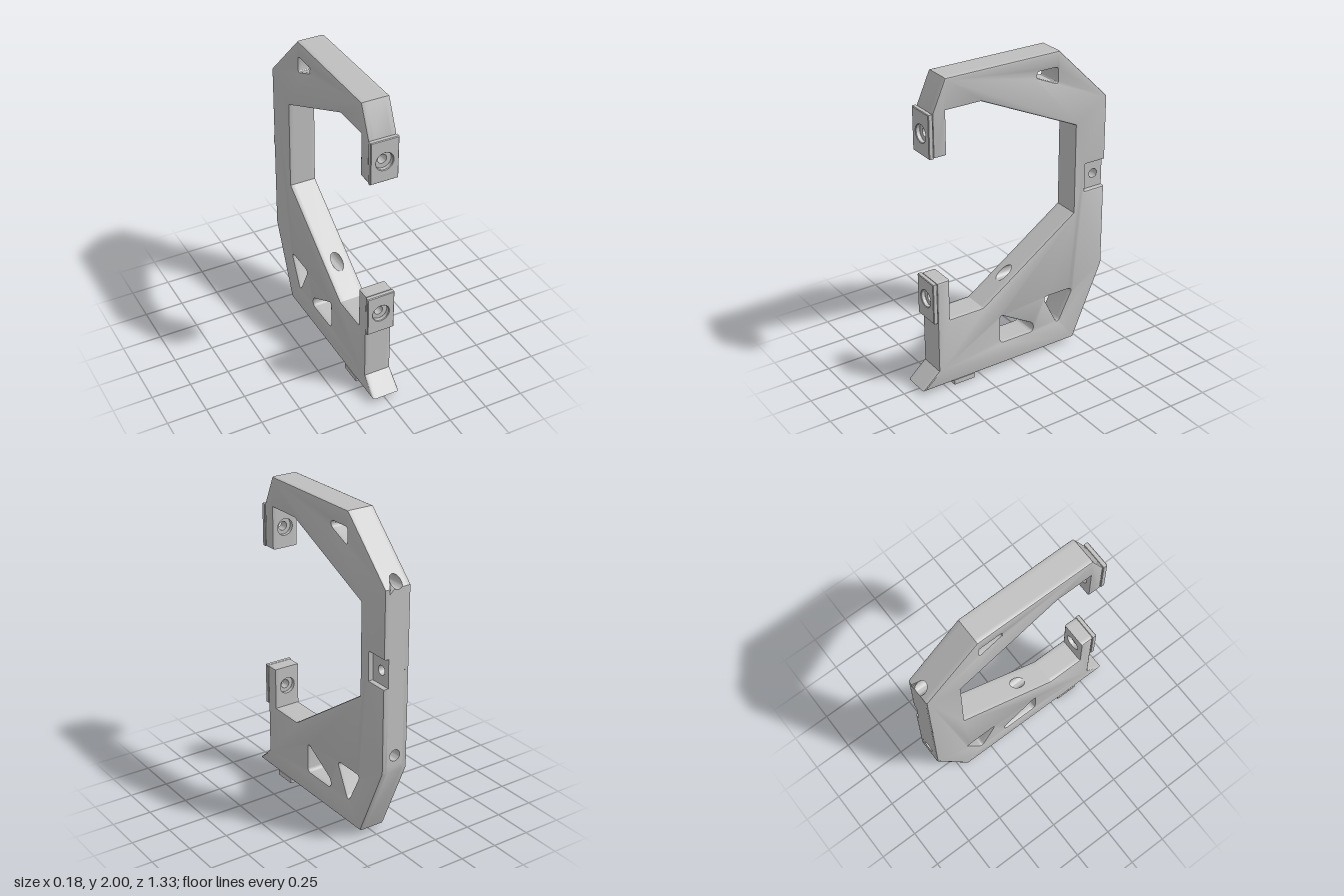
import * as THREE from 'three';
import { toCreasedNormals } from 'three/addons/utils/BufferGeometryUtils.js';

const W = 0.088;           // half width of the bracket
const M = 0.056;           // half width of the core layer that holds the bores
const BEVEL = 0.012;
const LOW = 0.61, HIGH = 1.67;   // heights of the two bolt lines

const steel = new THREE.MeshStandardMaterial({ color: 0xbfbfbf });
steel.name = 'light grey';

const toPath = (pts, Type = THREE.Path) => new Type(pts.map(([u, v]) => new THREE.Vector2(u, v)));

function circle(u, v, r) {
  const p = new THREE.Path();
  p.absarc(u, v, r, 0, Math.PI * 2, true);
  return p;
}

// Polygon with its corners rounded off over distance d
function roundedPath(pts, d) {
  const path = new THREE.Path();
  const v = pts.map(([a, b]) => new THREE.Vector2(a, b));
  v.forEach((p, i) => {
    const toward = (q) => p.clone().add(q.clone().sub(p).setLength(d));
    const a = toward(v[(i + v.length - 1) % v.length]);
    const b = toward(v[(i + 1) % v.length]);
    if (i) path.lineTo(a.x, a.y); else path.moveTo(a.x, a.y);
    path.quadraticCurveTo(p.x, p.y, b.x, b.y);
  });
  path.closePath();
  return path;
}

function add(group, name, geo) {
  const mesh = new THREE.Mesh(toCreasedNormals(geo, 0.5), steel);
  mesh.name = name;
  group.add(mesh);
  return mesh;
}

// Side profile (z, y) extruded from x0 to x1
function slab(pts, holes, x0, x1, bevel = 0) {
  const shape = toPath(pts, THREE.Shape);
  shape.holes.push(...holes);
  const geo = new THREE.ExtrudeGeometry(shape, {
    depth: x1 - x0 - 2 * bevel, curveSegments: 8, bevelEnabled: bevel > 0,
    bevelThickness: bevel, bevelSize: bevel, bevelOffset: -bevel, bevelSegments: 2,
  });
  geo.translate(0, 0, bevel - x1).rotateY(-Math.PI / 2);
  return geo;
}

// Outer layer: only its outside edge stays bevelled, the inside one is flattened
function outerSlab(pts, holes, side) {
  const inner = M - BEVEL;
  const geo = side > 0 ? slab(pts, holes, inner, W, BEVEL) : slab(pts, holes, -W, -inner, BEVEL);
  const p = geo.attributes.position;
  for (let i = 0; i < p.count; i++) p.setX(i, side * Math.max(side * p.getX(i), M));
  return geo;
}

// Block bored along z, its ends following the rules back(y) and front(y)
function boredBlock(y, r, back, front) {
  const shape = toPath([[-M, y - M], [M, y - M], [M, y - 0.025], [M, y + M], [-M, y + M], [-M, y - 0.025]], THREE.Shape);
  shape.holes.push(circle(0, y, r));
  const geo = new THREE.ExtrudeGeometry(shape, { depth: 1, bevelEnabled: false, curveSegments: 16 });
  const p = geo.attributes.position;
  for (let i = 0; i < p.count; i++) p.setZ(i, (p.getZ(i) < 0.5 ? back : front)(p.getY(i)));
  return geo;
}

export function createModel() {
  const group = new THREE.Group();
  group.name = 'cBracket';

  // Outline of the whole bracket; the rear edge closes from the last point on
  const front = [
    [-0.45, 0.03], [0.665, 0.03], [0.55, 0.135], [0.55, 0.74], [0.465, 0.74], [0.465, 0.47],
    [0.23, 0.47], [-0.435, 0.925], [-0.435, 1.505], [0.23, 1.81], [0.465, 1.81], [0.465, 1.54],
    [0.55, 1.54], [0.55, 1.81], [0.465, 2], [-0.305, 2], [-0.66, 1.645],
  ];
  const pocket = [[-0.66, 1.23], [-0.515, 1.23], [-0.515, 1.05], [-0.66, 1.05]];
  const rearFoot = [[-0.66, 0.51]];

  // Lightening cut-outs
  const lowerCuts = () => [
    roundedPath([[0.106, 0.375], [-0.138, 0.235], [-0.138, 0.18], [0.106, 0.18]], 0.027),
    roundedPath([[-0.215, 0.395], [-0.437, 0.395], [-0.325, 0.175]], 0.035),
  ];
  const upperCut = () =>
    roundedPath([[-0.148, 1.9], [-0.297, 1.9], [-0.297, 1.8], [-0.145, 1.868]], 0.018);

  // Outer layers: counterbore on the right, open pocket on the left
  add(group, 'rightSide', outerSlab([...front, ...rearFoot],
    [...lowerCuts(), upperCut(), circle(-0.595, 1.14, 0.055)], -1));
  add(group, 'leftSide', outerSlab([...front, ...pocket, ...rearFoot],
    [...lowerCuts(), upperCut()], 1));

  // Slopes of the edges that the bores break through
  const lowerSlope = (y) => 0.23 - (y - 0.47) * (0.665 / 0.455);
  const upperSlope = (y) => -0.435 + (y - 1.505) * (0.665 / 0.305);
  const rearEdge = (y) => -0.66 + Math.max(0, y - 1.645);

  // Core layer in pieces between the bolt lines
  const a = LOW - M, b = LOW + M, c = HIGH - M, d = HIGH + M;
  const core = (name, pts, holes = []) => add(group, name, slab(pts, holes, -M, M));
  core('lowerCore', [
    [-0.45, 0.03], [0.665, 0.03], [0.55, 0.135], [0.55, a], [0.465, a], [0.465, 0.47],
    [0.23, 0.47], [lowerSlope(a), a], [-0.66, a], [-0.66, 0.51],
  ], lowerCuts());
  core('columnCore', [
    [lowerSlope(b), b], [-0.435, 0.925], [-0.435, 1.505], [upperSlope(c), c], [-0.66, c], [-0.66, b],
  ], [circle(-0.595, 1.14, 0.03)]);
  core('upperCore', [
    [0.55, d], [0.55, 1.81], [0.465, 2], [-0.305, 2], [rearEdge(d), d],
    [upperSlope(d), d], [0.23, 1.81], [0.465, 1.81], [0.465, d],
  ], [upperCut()]);
  core('lowerTabEnd', [[0.465, b], [0.55, b], [0.55, 0.74], [0.465, 0.74]]);
  core('upperTabEnd', [[0.465, 1.54], [0.55, 1.54], [0.55, c], [0.465, c]]);

  // Tool access bores through the frame
  add(group, 'lowerAccessBore', boredBlock(LOW, 0.036, rearEdge, lowerSlope));
  add(group, 'upperAccessBore', boredBlock(HIGH, 0.036, rearEdge, upperSlope));

  // Bolt holes in the tabs and the face plates in front of them
  for (const [name, y, y0, y1] of [['lower', LOW, 0.475, 0.74], ['upper', HIGH, 1.54, 1.808]]) {
    add(group, name + 'TabBolt', boredBlock(y, 0.028, () => 0.49, () => 0.55));
    add(group, name + 'TabCounterbore', boredBlock(y, 0.053, () => 0.465, () => 0.49));
    const plate = toPath([[-W, y0], [W, y0], [W, y1], [-W, y1]], THREE.Shape);
    plate.holes.push(circle(0, y, 0.053));
    const geo = new THREE.ExtrudeGeometry(plate, {
      depth: 0.022, curveSegments: 16, bevelThickness: 0.004, bevelSize: 0.004,
      bevelOffset: -0.004, bevelSegments: 1,
    });
    add(group, name + 'FacePlate', geo.translate(0, 0, 0.554));
  }

  // Locating foot with a small pin hole
  const foot = toPath([[-W, 0.302], [W, 0.302], [W, 0.445], [-W, 0.445]], THREE.Shape);
  foot.holes.push(circle(0, 0.373, 0.011));
  const footGeo = new THREE.ExtrudeGeometry(foot, { depth: 0.032, bevelEnabled: false });
  add(group, 'foot', footGeo.rotateX(Math.PI / 2).translate(0, 0.032, 0));

  return group;
}
